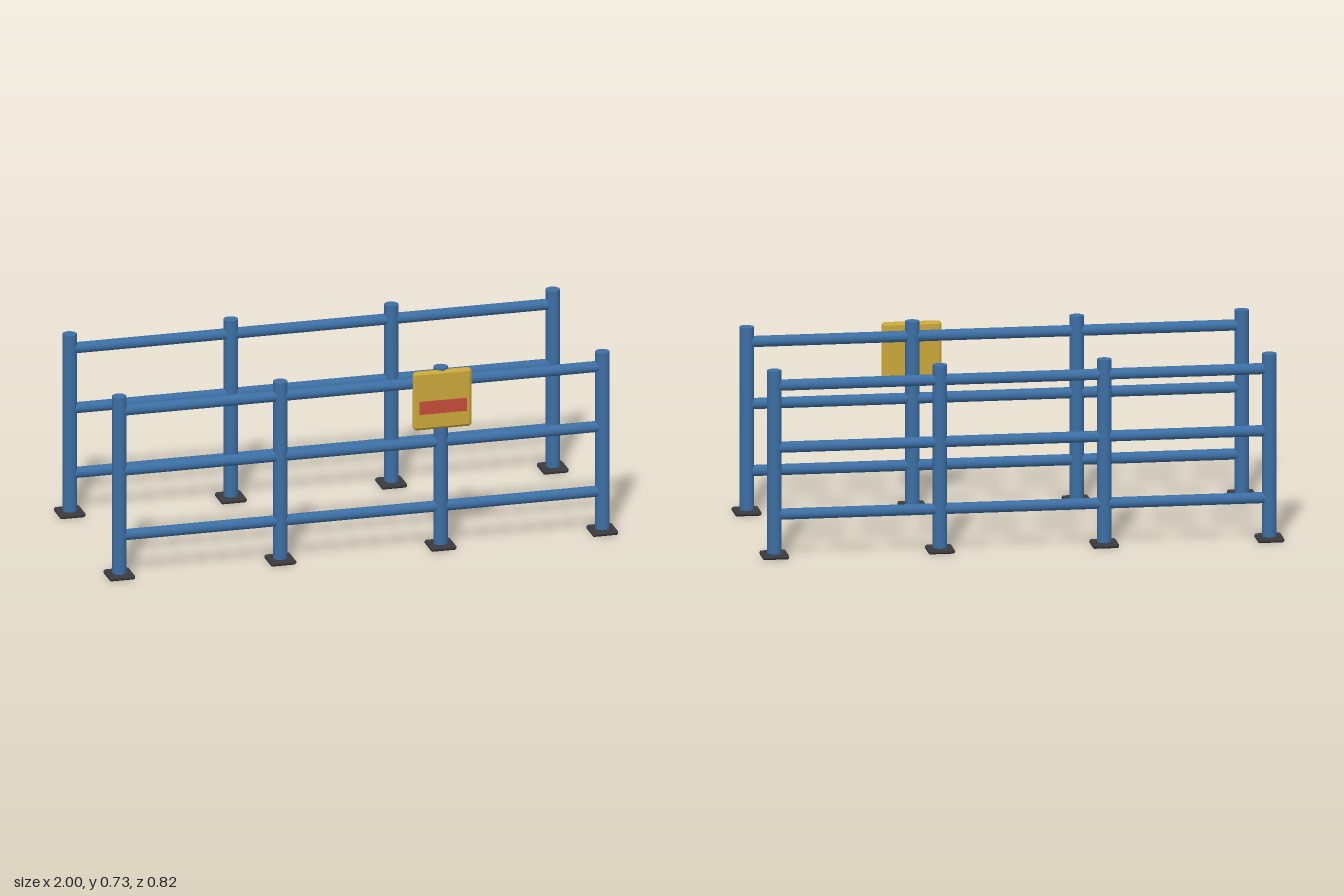
import * as THREE from 'three';

const blue = new THREE.MeshStandardMaterial({ color: 0x3c6ea3 });
blue.name = 'blue paint';
const dark = new THREE.MeshStandardMaterial({ color: 0x3a3a3e });
dark.name = 'dark steel';
const gold = new THREE.MeshStandardMaterial({ color: 0xc9a63a });
gold.name = 'sign yellow';
const red = new THREE.MeshStandardMaterial({ color: 0xc44a3a });
red.name = 'stripe red';

const POST_X = [-0.949, -0.316, 0.314, 0.949];
const ROW_Z = 0.359;

// Plate with rounded corners and chamfered rims, centred on the origin, facing z
function bevelledPlate(w, h, thick, corner, bevel, bevelDepth) {
  const x = w / 2 - bevel, y = h / 2 - bevel, r = corner;
  const s = new THREE.Shape();
  s.moveTo(-x + r, -y);
  s.lineTo(x - r, -y);
  s.quadraticCurveTo(x, -y, x, -y + r);
  s.lineTo(x, y - r);
  s.quadraticCurveTo(x, y, x - r, y);
  s.lineTo(-x + r, y);
  s.quadraticCurveTo(-x, y, -x, y - r);
  s.lineTo(-x, -y + r);
  s.quadraticCurveTo(-x, -y, -x + r, -y);
  const g = new THREE.ExtrudeGeometry(s, {
    depth: thick - 2 * bevelDepth, bevelEnabled: true, bevelSegments: 1,
    bevelSize: bevel, bevelThickness: bevelDepth, curveSegments: 4,
  });
  return g.translate(0, 0, bevelDepth - thick / 2);
}

function add(parent, name, geometry, material, x, y, z) {
  const m = new THREE.Mesh(geometry, material);
  m.name = name;
  m.position.set(x, y, z);
  parent.add(m);
  return m;
}

export function createModel() {
  const model = new THREE.Group();
  model.name = 'guardRails';

  const postGeo = new THREE.CylinderGeometry(0.0275, 0.0275, 0.72, 28);
  const railGeo = new THREE.CylinderGeometry(0.0213, 0.0213, 1.934, 24).rotateZ(Math.PI / 2);
  const baseGeo = bevelledPlate(0.102, 0.102, 0.016, 0.006, 0.004, 0.005).rotateX(-Math.PI / 2);

  // Two matching fences, front and back
  for (const side of [1, -1]) {
    const fence = new THREE.Group();
    fence.name = side > 0 ? 'frontFence' : 'backFence';
    fence.position.z = side * ROW_Z;
    for (const x of POST_X) {
      add(fence, 'post', postGeo, blue, x, 0.368, 0);
      add(fence, 'basePlate', baseGeo, dark, x, 0.008, 0);
    }
    for (const y of [0.166, 0.427, 0.669]) add(fence, 'rail', railGeo, blue, 0, y, 0);
    model.add(fence);
  }

  // Sign with a raised stripe on the front fence
  const sign = new THREE.Group();
  sign.name = 'sign';
  sign.position.set(0.314, 0.604, 0.379);
  add(sign, 'signPanel', bevelledPlate(0.23, 0.234, 0.026, 0.006, 0.01, 0.008), gold, 0, 0, 0);
  add(sign, 'signStripe', new THREE.BoxGeometry(0.186, 0.052, 0.006), red, 0, -0.026, 0.0128);
  model.add(sign);

  return model;
}
